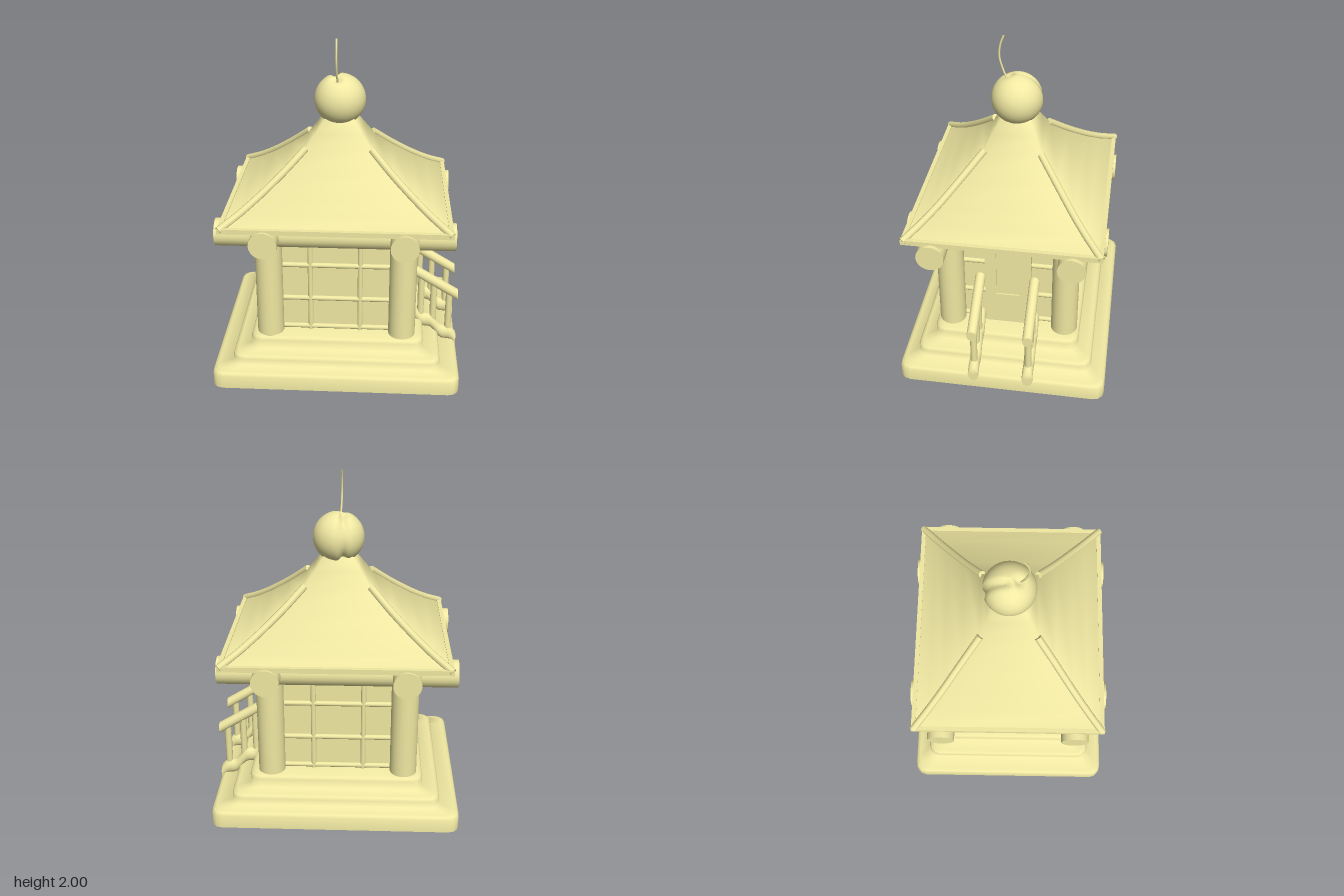
import * as THREE from 'three';
import { toCreasedNormals } from 'three/addons/utils/BufferGeometryUtils.js';

const CX = -0.01; // plan centre of the posts and walls
const mat = new THREE.MeshStandardMaterial({ color: 0xf0e8a2, side: THREE.DoubleSide });

function add(parent, name, geo, x = 0, y = 0, z = 0) {
  const mesh = new THREE.Mesh(geo, mat);
  mesh.name = name;
  mesh.position.set(x, y, z);
  parent.add(mesh);
  return mesh;
}

// Straight round bar between two points
function bar(parent, name, a, b, r, sides = 10) {
  const p = new THREE.Vector3(...a), q = new THREE.Vector3(...b);
  const d = q.clone().sub(p);
  const mesh = add(parent, name, new THREE.CylinderGeometry(r, r, d.length(), sides));
  mesh.position.copy(p).add(q).multiplyScalar(0.5);
  mesh.quaternion.setFromUnitVectors(new THREE.Vector3(0, 1, 0), d.normalize());
}

// Round rail running along x with upright cut ends; its height follows heightAt(x)
function rail(parent, name, x0, x1, z, ry, rz, heightAt) {
  const geo = new THREE.CylinderGeometry(1, 1, x1 - x0, 14, 30);
  geo.rotateZ(-Math.PI / 2).scale(1, ry, rz).translate((x0 + x1) / 2, 0, z);
  const p = geo.attributes.position;
  for (let i = 0; i < p.count; i++) p.setY(i, p.getY(i) + heightAt(p.getX(i)));
  add(parent, name, toCreasedNormals(geo, 0.9));
}

// Rectangle in plan, its corners rounded by radius r in n steps
function ring(hx, hz, r, n) {
  const pts = [];
  [[1, 1], [-1, 1], [-1, -1], [1, -1]].forEach(([sx, sz], c) => {
    for (let i = 0; i <= n; i++) {
      const a = (c + (n ? i / n : 0)) * Math.PI / 2;
      pts.push([sx * (hx - r) + r * Math.cos(a), sz * (hz - r) + r * Math.sin(a)]);
    }
  });
  return pts;
}

// Skin over levels [halfX, halfZ, y], closed on top
function loft(levels, r, n, crease) {
  const pos = [], idx = [], m = 4 * (n + 1);
  levels.forEach(([hx, hz, y]) => ring(hx, hz, r, n).forEach(([x, z]) => pos.push(x, y, z)));
  for (let l = 0; l < levels.length - 1; l++) {
    for (let i = 0; i < m; i++) {
      const a = l * m + i, b = l * m + (i + 1) % m;
      idx.push(a, a + m, b, b, a + m, b + m);
    }
  }
  const top = (levels.length - 1) * m;
  pos.push(0, levels[levels.length - 1][2], 0);
  for (let i = 0; i < m; i++) idx.push(top + i, top + m, top + (i + 1) % m);
  const geo = new THREE.BufferGeometry();
  geo.setAttribute('position', new THREE.Float32BufferAttribute(pos, 3));
  geo.setIndex(idx);
  return toCreasedNormals(geo, crease);
}

function createModel() {
  const g = new THREE.Group();
  g.name = 'pavilion';

  // Hollow stepped base with softened upper edges
  const levels = [];
  let y0 = 0;
  [[0.738, 0.63, 0.105], [0.625, 0.538, 0.17], [0.524, 0.447, 0.25]].forEach(([hx, hz, y]) => {
    levels.push([hx, hz, y0], [hx, hz, y - 0.025], [hx - 0.008, hz - 0.008, y - 0.008], [hx - 0.025, hz - 0.025, y]);
    y0 = y;
  });
  add(g, 'steppedBase', loft(levels, 0.065, 3, 1.7), -0.0025);

  // Corner posts and the crossed round beams on top of them
  for (const sx of [-1, 1]) {
    for (const sz of [-1, 1]) {
      const foot = sx < 0 && sz > 0 ? 0.21 : 0.25;
      bar(g, 'post', [CX + sx * 0.4, foot, sz * 0.35], [CX + sx * 0.4, 0.93, sz * 0.35], 0.081, 24);
    }
    bar(g, 'crossBeam', [CX + sx * 0.4, 0.938, -0.585], [CX + sx * 0.4, 0.938, 0.585], 0.081, 24);
    bar(g, 'longBeam', [-0.705, 0.935, sx * 0.4], [0.683, 0.935, sx * 0.4], 0.081, 24);
  }

  // Walls with their lattice
  const WX = 0.37, WZ = 0.33;
  add(g, 'walls', new THREE.BoxGeometry(2 * WX, 0.675, 2 * WZ), CX, 0.5925, 0);
  const lattice = new THREE.Group();
  lattice.name = 'lattice';
  g.add(lattice);
  for (const s of [-1, 1]) {
    for (const y of [0.268, 0.465, 0.69]) {
      bar(lattice, 'latticeRail', [CX - 0.38, y, s * WZ], [CX + 0.38, y, s * WZ], 0.016);
      bar(lattice, 'latticeRail', [CX + s * WX, y, -0.33], [CX + s * WX, y, 0.33], 0.016);
    }
    for (const t of [-1, 1]) {
      const x = CX - 0.005 + t * 0.15;
      bar(lattice, 'latticeUpright', [x, 0.25, s * WZ], [x, 0.9, s * WZ], 0.016);
    }
    bar(lattice, 'latticeUpright', [CX - WX, 0.25, s * 0.11], [CX - WX, 0.9, s * 0.11], 0.016);
  }

  // Door with a framed opening and recessed panel
  const frame = new THREE.Shape();
  frame.moveTo(-0.14, 0.25).lineTo(0.14, 0.25).lineTo(0.14, 0.87).lineTo(-0.14, 0.87).closePath();
  const hole = new THREE.Path();
  hole.moveTo(-0.072, 0.47).lineTo(-0.072, 0.83).lineTo(0.072, 0.83).lineTo(0.072, 0.47).closePath();
  frame.holes.push(hole);
  const door = add(g, 'doorFrame', new THREE.ExtrudeGeometry(frame, { depth: 0.05, bevelEnabled: false }), 0.35);
  door.rotation.y = Math.PI / 2;
  add(g, 'doorPanel', new THREE.BoxGeometry(0.04, 0.37, 0.15), 0.37, 0.65, 0);

  // Stair rails: sloping handrail, balusters and a wavy lower rail
  const handY = x => 0.612 - 0.61 * (x - 0.42);
  const lowerY = x => 0.322 - 0.7 * (x - 0.42) + 0.014 * Math.sin((x - 0.42) / 0.315 * Math.PI * 5);
  for (const z of [-0.165, 0.165]) {
    const stairRail = new THREE.Group();
    stairRail.name = 'stairRail';
    g.add(stairRail);
    rail(stairRail, 'handrail', 0.42, 0.737, z, 0.036, 0.031, handY);
    rail(stairRail, 'lowerRail', 0.42, 0.737, z, 0.046, 0.033, lowerY);
    for (const x of [0.51, 0.588, 0.685]) bar(stairRail, 'baluster', [x, lowerY(x), z], [x, handY(x), z], 0.021);
  }

  // Hipped roof sheet with a hollow sweep rising into a steeper neck
  const RX = -0.004;
  const roof = [[0.66, 0.565, 1.012], [0.55, 0.47, 1.075], [0.45, 0.385, 1.145], [0.32, 0.277, 1.25],
    [0.198, 0.17, 1.362], [0.14, 0.13, 1.445], [0.085, 0.085, 1.525]];
  add(g, 'roof', loft(roof, 0, 0, 1.6), RX);

  // Eaves frame and hip ridges
  for (const s of [-1, 1]) {
    add(g, 'eave', new THREE.BoxGeometry(1.328, 0.03, 0.026), RX, 1.015, s * 0.557);
    add(g, 'eave', new THREE.BoxGeometry(0.026, 0.03, 1.114), RX + s * 0.651, 1.015, 0);
    for (const t of [-1, 1]) {
      const path = new THREE.CatmullRomCurve3(roof.slice(0, 5).map(([hx, hz, y]) =>
        new THREE.Vector3(RX + s * (hx - 0.005), y + 0.006, t * (hz - 0.005))));
      add(g, 'hipRidge', new THREE.TubeGeometry(path, 16, 0.022, 8));
      for (const u of [0, 1]) {
        const end = add(g, 'ridgeEnd', new THREE.CircleGeometry(0.022, 8));
        end.position.copy(path.getPoint(u));
        end.lookAt(end.position.clone().add(path.getTangent(u)));
      }
    }
  }

  // Fruit-shaped finial: a ball creased down its back and dimpled at the stem
  const ball = new THREE.SphereGeometry(0.152, 40, 28);
  const pos = ball.attributes.position, v = new THREE.Vector3();
  const dimple = new THREE.Vector3(-0.1, 0.92, 0.36).normalize();
  for (let i = 0; i < pos.count; i++) {
    v.fromBufferAttribute(pos, i);
    const n = v.clone().normalize();
    const back = THREE.MathUtils.smoothstep(-n.z, -0.35, 0.25);
    const crease = 0.18 * back * Math.exp(-Math.pow((n.x + 0.2) / 0.13, 2));
    const dip = 0.16 * Math.exp(-n.distanceToSquared(dimple) / 0.04);
    v.multiplyScalar(1 - Math.max(crease, dip));
    pos.setXYZ(i, v.x, v.y, v.z);
  }
  ball.computeVertexNormals();
  add(g, 'finial', ball, -0.004, 1.623, 0);

  // Thin curved stem
  const stem = new THREE.CatmullRomCurve3([[-0.012, 1.72, 0.055], [-0.018, 1.79, 0.085], [-0.02, 1.87, 0.106],
    [-0.02, 1.94, 0.1], [-0.02, 1.998, 0.08]].map(p => new THREE.Vector3(...p)));
  add(g, 'stem', new THREE.TubeGeometry(stem, 20, 0.006, 8));

  return g;
}

export { createModel };
